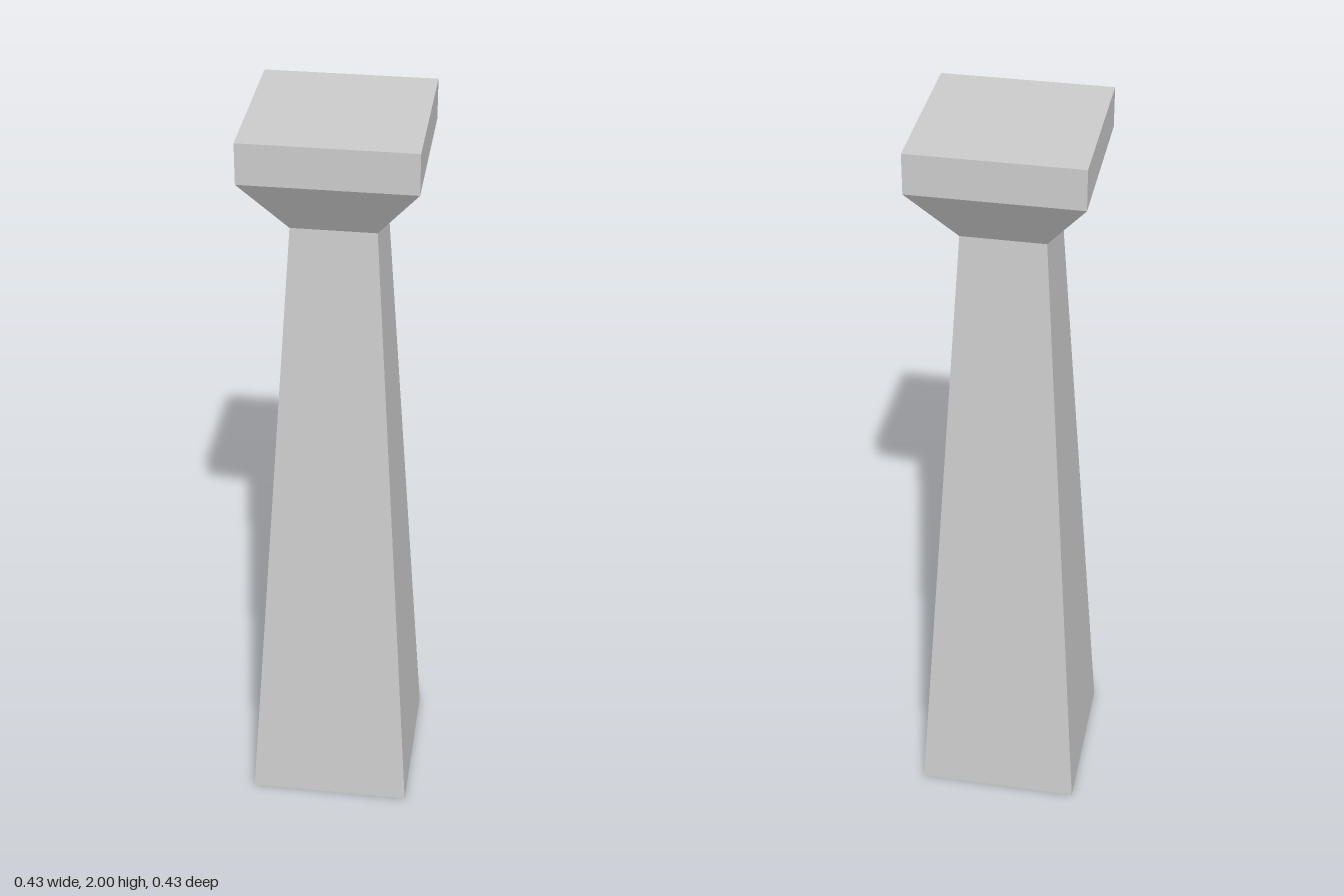
import * as THREE from 'three';

const material = new THREE.MeshStandardMaterial({ color: 0xcccccc, flatShading: true });

// Square section running from half-width `bottom` at y0 to half-width `top` at y1
function squareSection(name, bottom, top, y0, y1) {
  const geometry = new THREE.BoxGeometry(2, y1 - y0, 2);
  const p = geometry.attributes.position;
  for (let i = 0; i < p.count; i++) {
    const half = p.getY(i) > 0 ? top : bottom;
    p.setX(i, p.getX(i) * half);
    p.setZ(i, p.getZ(i) * half);
  }
  geometry.translate(0, (y0 + y1) / 2, 0);
  geometry.computeVertexNormals();
  const mesh = new THREE.Mesh(geometry, material);
  mesh.name = name;
  return mesh;
}

export function createModel() {
  const pillar = new THREE.Group();
  pillar.name = 'pillar';
  const wide = 0.216, neck = 0.107;
  const neckY = 1.735, slabY = 1.895;

  pillar.add(
    squareSection('shaft', wide, neck, 0, neckY),          // tapering shaft
    squareSection('flaredCapital', neck, wide, neckY, slabY), // flare under the slab
    squareSection('topSlab', wide, wide, slabY, 2)         // square slab
  );
  return pillar;
}
